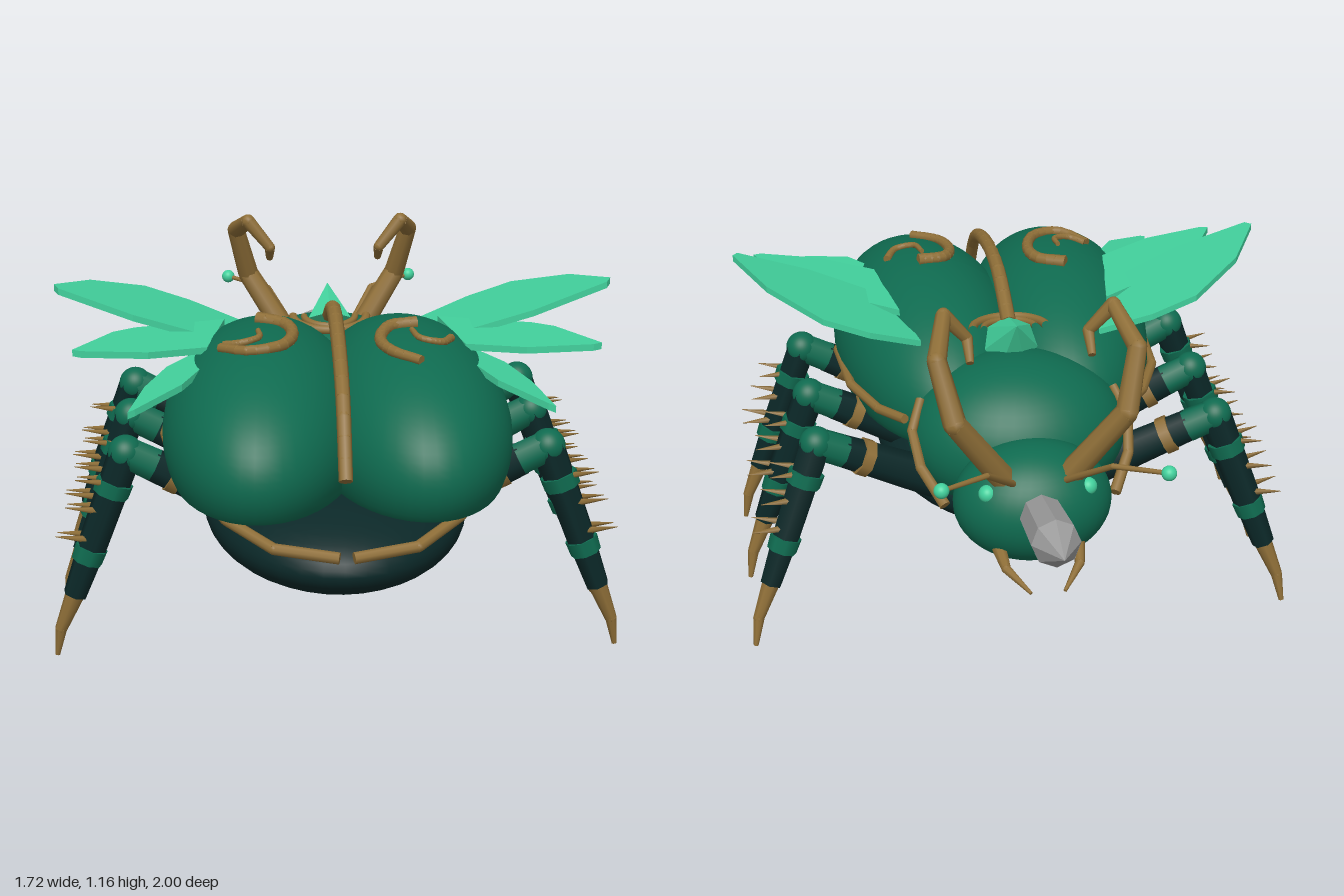
import * as THREE from 'three';

const mat = (name, color, double) => {
  const m = new THREE.MeshStandardMaterial({ color });
  m.name = name;
  if (double) m.side = THREE.DoubleSide;
  return m;
};
const V = (p) => new THREE.Vector3(...p);

export function createModel() {
  const root = new THREE.Group();
  root.name = 'beetle';
  const green = mat('shell green', 0x0f6b50);
  const dark = mat('dark underside', 0x0b2828);
  const mint = mat('mint', 0x42d09c, true);
  const gold = mat('old gold', 0x8f6f38);
  const steel = mat('horn grey', 0x9c9c9c);
  steel.flatShading = true;

  const add = (parent, name, geo, material) => {
    const mesh = new THREE.Mesh(geo, material);
    mesh.name = name;
    parent.add(mesh);
    return mesh;
  };
  const group = (name, parent = root) => {
    const g = new THREE.Group();
    g.name = name;
    parent.add(g);
    return g;
  };
  const ellipsoid = (parent, name, c, r, material) => {
    const mesh = add(parent, name, new THREE.SphereGeometry(1, 40, 28).scale(...r), material);
    mesh.position.set(...c);
    return mesh;
  };
  // Tapered bar between two points
  const bar = (parent, name, a, b, ra, rb, material, sides = 8) => {
    const A = V(a), d = V(b).sub(A);
    const mesh = add(parent, name, new THREE.CylinderGeometry(rb, ra, d.length(), sides), material);
    mesh.position.copy(A).addScaledVector(d, 0.5);
    mesh.quaternion.setFromUnitVectors(new THREE.Vector3(0, 1, 0), d.normalize());
    return mesh;
  };
  // Chain of tapered bars with rounded joints
  const strand = (parent, name, pts, r0, r1, material = gold) => {
    const g = group(name, parent), n = pts.length - 1;
    const r = (i) => r0 + (r1 - r0) * i / n;
    for (let i = 0; i < n; i++) {
      bar(g, name + 'Segment', pts[i], pts[i + 1], r(i), r(i + 1), material);
      if (i) ellipsoidJoint(g, name, pts[i], r(i), material);
    }
    return g;
  };
  const ellipsoidJoint = (g, name, p, r, material) =>
    add(g, name + 'Joint', new THREE.SphereGeometry(r, 8, 6), material).position.set(...p);
  const smooth = (pts, n) =>
    new THREE.CatmullRomCurve3(pts.map(V)).getPoints(n).map((p) => p.toArray());

  // Body masses
  ellipsoid(root, 'abdomen', [0, 0.415, 0.3], [0.4, 0.168, 0.63], dark);
  ellipsoid(root, 'thorax', [0, 0.63, -0.16], [0.34, 0.245, 0.28], green);
  ellipsoid(root, 'head', [0, 0.55, -0.46], [0.24, 0.185, 0.19], green);

  // Wing cases, flattened underneath
  const shell = { x: 0.215, y: 0.69, z: 0.38, rx: 0.3, ry: 0.295, rz: 0.59 };
  for (const s of [1, -1]) {
    const geo = new THREE.SphereGeometry(1, 48, 40).scale(shell.rx, shell.ry, shell.rz);
    const p = geo.attributes.position;
    for (let i = 0; i < p.count; i++) p.setY(i, Math.max(p.getY(i), -0.12));
    geo.computeVertexNormals();
    const mesh = add(root, s > 0 ? 'leftWingCase' : 'rightWingCase', geo, green);
    mesh.position.set(s * shell.x, shell.y, shell.z);
    mesh.rotation.y = s * 0.06;
  }
  const shellTop = (x, z) => {
    const u = (Math.abs(x) - shell.x) / shell.rx, w = (z - shell.z) / shell.rz;
    return shell.y + shell.ry * Math.sqrt(Math.max(0, 1 - u * u - w * w));
  };

  // Central seam, gem and collar
  strand(root, 'seam', smooth([[0, 0.92, 0], [0, 1.0, 0.22], [0, 0.985, 0.5],
    [0, 0.89, 0.76], [0, 0.7, 0.92]], 16), 0.024, 0.02);
  const gem = bar(root, 'gem', [0, 0.87, -0.04], [0, 0.98, -0.16], 0.085, 0.001, mint, 7);
  gem.geometry = gem.geometry.toNonIndexed();
  gem.geometry.computeVertexNormals();
  for (const [r, t] of [[0.115, 0.014], [0.08, 0.011]]) {
    const ring = add(root, 'collar', new THREE.TorusGeometry(r, t, 8, 20, Math.PI), gold);
    ring.rotation.x = Math.PI / 2 + 0.12;
    ring.position.set(0, 0.91, -0.02);
  }

  // Scrolls lying on the wing cases, the two sides differ
  const scrolls = [
    [[-0.23, 0.28], [-0.15, 0.33], [-0.13, 0.43], [-0.17, 0.54], [-0.26, 0.57], [-0.34, 0.49]],
    [[-0.23, 0.42], [-0.23, 0.48], [-0.28, 0.505], [-0.33, 0.48]],
    [[0.24, 0.36], [0.16, 0.38], [0.125, 0.47], [0.15, 0.57], [0.23, 0.645]],
    [[0.22, 0.43], [0.24, 0.5], [0.3, 0.505], [0.335, 0.44]],
  ];
  scrolls.forEach((pts, i) => {
    const path = smooth(pts.map(([x, z]) => [x, shellTop(x, z) + 0.008, z]), 16);
    strand(root, 'scroll', path, i % 2 ? 0.008 : 0.021, i % 2 ? 0.013 : 0.015);
  });

  // Front horn
  bar(root, 'hornShaft', [0, 0.583, -0.61], [0, 0.638, -0.87], 0.066, 0.072, steel);
  bar(root, 'hornTip', [0, 0.638, -0.87], [0, 0.662, -1.0], 0.072, 0.001, steel);

  // Thin blade outlined in x and z, its height following x
  const blade = (parent, pts, height) => {
    const shape = new THREE.Shape(pts.map(([x, z]) => new THREE.Vector2(x, -z)));
    const geo = new THREE.ExtrudeGeometry(shape, { depth: 0.02, bevelEnabled: false });
    geo.rotateX(-Math.PI / 2);
    const p = geo.attributes.position;
    for (let i = 0; i < p.count; i++) p.setY(i, p.getY(i) + height(p.getX(i)));
    geo.computeVertexNormals();
    add(parent, 'wingBlade', geo, mint);
  };

  // Everything paired: built on the left, then mirrored in coordinates
  for (const s of [1, -1]) {
    const side = group(s > 0 ? 'leftSide' : 'rightSide');
    const m = (pts) => pts.map(([x, y, z]) => [s * x, y, z]);
    const line = (name, pts, r0, r1) => strand(side, name, m(pts), r0, r1);
    const seg = (parent, name, a, b, ra, rb, material, n) =>
      bar(parent, name, ...m([a, b]), ra, rb, material, n);

    // Head details
    ellipsoid(side, 'eye', [s * 0.15, 0.635, -0.56], [0.027, 0.027, 0.027], mint);
    line('antler', [[0.1, 0.67, -0.54], [0.25, 0.9, -0.61], [0.29, 1.07, -0.54],
      [0.25, 1.135, -0.38], [0.18, 1.05, -0.365], [0.18, 1.0, -0.43]], 0.04, 0.012);
    line('antenna', [[0.08, 0.68, -0.59], [0.18, 0.81, -0.76], [0.32, 0.828, -0.855]], 0.011, 0.007);
    ellipsoid(side, 'antennaTip', [s * 0.32, 0.828, -0.855], [0.022, 0.022, 0.022], mint);
    line('jaw', [[0.12, 0.46, -0.56], [0.11, 0.435, -0.66], [0.05, 0.4, -0.75]], 0.024, 0.005);

    // Gold edging
    line('thoraxTrim', [[0.3, 0.76, -0.17], [0.335, 0.69, -0.24], [0.32, 0.61, -0.33],
      [0.26, 0.53, -0.43]], 0.014, 0.018);
    line('shellTrim', [[0.02, 0.5, 0.985], [0.2, 0.515, 0.945], [0.33, 0.55, 0.81],
      [0.47, 0.63, 0.6], [0.51, 0.67, 0.4], [0.49, 0.68, 0.12], [0.42, 0.68, -0.06],
      [0.35, 0.7, -0.18]], 0.017, 0.015);

    // Fanned wings
    const flip = (pts) => pts.map(([x, z]) => [s * x, z]);
    blade(side, flip([[0.28, -0.04], [0.44, -0.08], [0.58, -0.07], [0.74, 0.07], [0.835, 0.25],
      [0.82, 0.28], [0.6, 0.3], [0.35, 0.25]]), (x) => 0.9 + (Math.abs(x) - 0.35) * 0.36);
    blade(side, flip([[0.33, 0.1], [0.6, 0.26], [0.66, 0.32], [0.765, 0.53], [0.74, 0.54],
      [0.55, 0.51], [0.38, 0.42]]), (x) => 0.92 + (Math.abs(x) - 0.35) * 0.08);
    blade(side, flip([[0.32, 0.28], [0.5, 0.42], [0.56, 0.56], [0.6, 0.76], [0.58, 0.75],
      [0.45, 0.64], [0.38, 0.5]]), (x) => 0.915 - (Math.abs(x) - 0.32) * 0.28);
    line('wingRib', [[0.3, 0.87, 0.08], [0.58, 0.965, 0.1]], 0.014, 0.007);

    // Legs: hip z, knee z, ankle z, toe z
    for (const [name, h, k, a, t] of [['frontLeg', -0.13, -0.19, -0.26, -0.305],
      ['middleLeg', 0.15, 0.14, 0.135, 0.1], ['hindLeg', 0.48, 0.49, 0.505, 0.5]]) {
      const leg = group(name, side);
      const hip = V([0.24, 0.45, h]), knee = V([0.625, 0.645, k]), ankle = V([0.79, 0.2, a]);
      const thigh = (f) => hip.clone().lerp(knee, f).toArray();
      const shin = (f) => knee.clone().lerp(ankle, f).toArray();
      seg(leg, 'thigh', thigh(0), thigh(0.8), 0.062, 0.05, dark, 6);
      seg(leg, 'thighBand', thigh(0.58), thigh(0.66), 0.06, 0.06, gold);
      seg(leg, 'kneeSleeve', thigh(0.78), thigh(1), 0.052, 0.05, green);
      ellipsoid(leg, 'knee', [s * knee.x, knee.y, k], [0.052, 0.052, 0.052], green);
      seg(leg, 'shin', shin(0), shin(0.68), 0.052, 0.046, dark, 6);
      seg(leg, 'upperCuff', shin(0.2), shin(0.29), 0.057, 0.055, green);
      seg(leg, 'lowerCuff', shin(0.66), shin(0.76), 0.05, 0.047, green);
      seg(leg, 'lowerShin', shin(0.7), shin(1), 0.044, 0.036, dark, 6);
      strand(leg, 'claw', m([ankle.toArray(), [0.835, 0.09, (a + t) / 2], [0.85, 0.003, t]]), 0.029, 0.008);
      // Spines on the outer face
      for (const f of [0.17, 0.36, 0.56]) for (const dz of [-0.02, 0.025]) {
        const [x, y, z] = shin(f);
        seg(leg, 'spine', [x + 0.03, y - 0.01, z + dz], [x + 0.12, y + (dz > 0 ? 0.005 : -0.01), z + dz * 1.6],
          0.012, 0.001, gold, 5);
      }
    }
  }
  return root;
}
